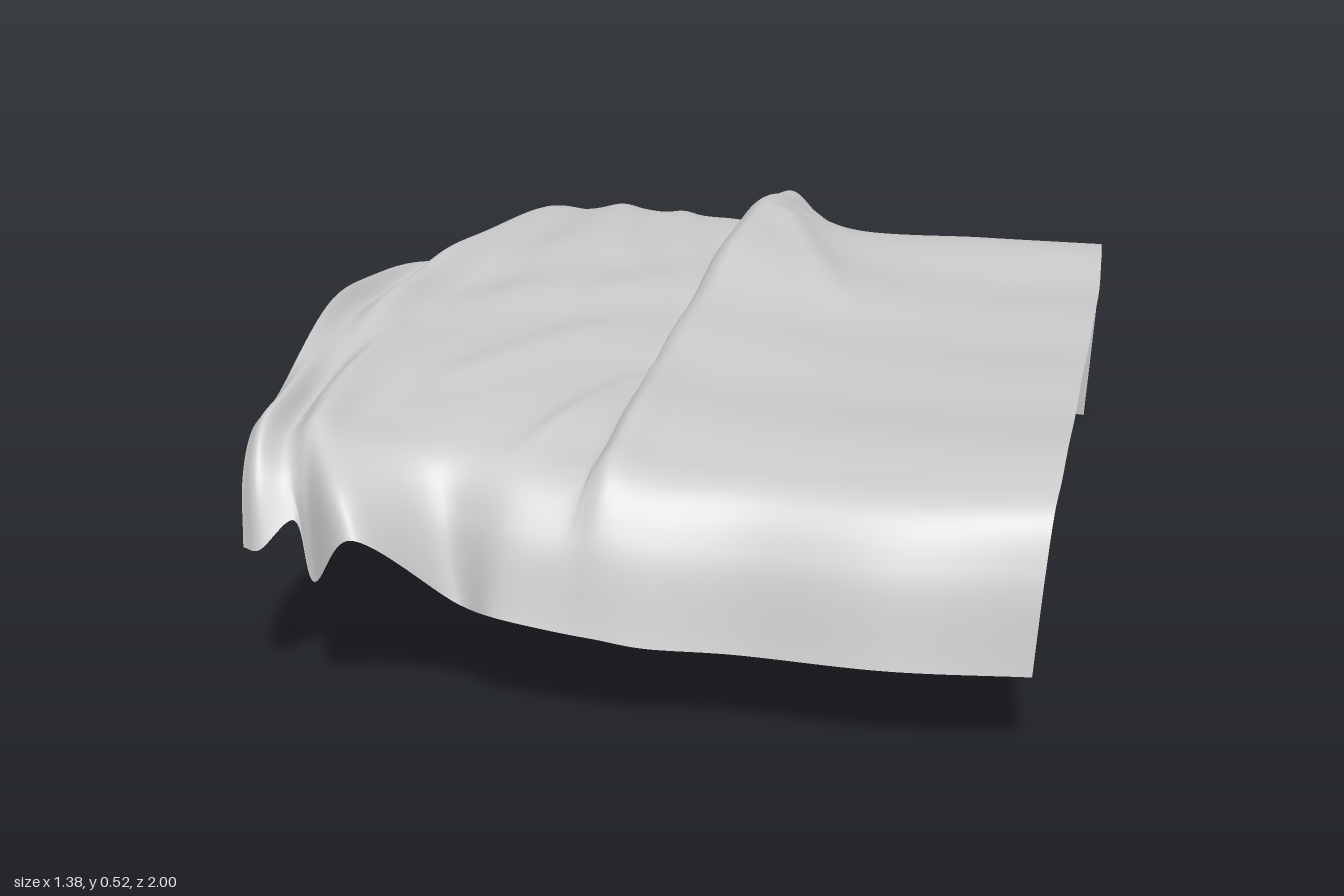
import * as THREE from 'three';

// Cross-sections over the top, running from the -x edge to the +x edge: [x, y]
const topSections = [
  { z: 0.72, pts: [[-.625, .45], [-.6, .475], [-.565, .44], [-.52, .475], [-.46, .445], [-.3, .435], [-.16, .425],
    [-.05, .42], [-.045, .43], [-.02, .45], [.05, .43], [.2, .42], [.45, .418], [.69, .42]] },
  { z: 0.15, pts: [[-.69, .5], [-.655, .465], [-.605, .495], [-.54, .462], [-.4, .468], [-.3, .46], [-.17, .45],
    [-.065, .43], [-.075, .455], [-.045, .475], [.03, .46], [.22, .43], [.42, .418], [.665, .418]] },
  { z: -0.4, pts: [[-.605, .41], [-.615, .45], [-.58, .48], [-.5, .46], [-.4, .47], [-.28, .455], [-.17, .45],
    [-.08, .44], [-.1, .48], [-.06, .527], [.02, .505], [.17, .443], [.4, .418], [.64, .418]] },
  { z: -0.74, pts: [[-.615, .36], [-.61, .41], [-.57, .435], [-.5, .43], [-.42, .435], [-.3, .43], [-.19, .43],
    [-.1, .43], [-.11, .46], [-.065, .49], [-.005, .455], [.08, .42], [.36, .418], [.612, .418]] },
];

// Hems: [x, y, z]
const frontHem = [[-.605, .27, .92], [-.57, .275, .94], [-.52, .32, .91], [-.48, .23, .94], [-.39, .33, 1],
  [-.25, .195, .9], [-.18, .195, .94], [-.1, .185, .945], [-.06, .18, .945], [-.01, .175, .945],
  [.06, .165, .94], [.2, .155, .91], [.45, .155, .92], [.67, .145, .87]];
const backHem = [[-.49, .05, -1], [-.517, .035, -.955], [-.495, .04, -.92], [-.445, .03, -.915], [-.43, .03, -.865],
  [-.3, .05, -.855], [-.19, .08, -.865], [-.122, .1, -.885], [-.1, .125, -.94], [-.035, .145, -.99],
  [.035, .11, -.91], [.085, .04, -.835], [.36, .02, -.865], [.58, .005, -.85]];

const COLS = 180, ROWS = 140;
const mix = THREE.MathUtils.lerp, step = THREE.MathUtils.smoothstep;

// Rounded drop between the top and a hem
function dropPoint(top, hem, outward, downward) {
  return new THREE.Vector3(mix(top.x, hem.x, downward), mix(top.y, hem.y, downward), mix(top.z, hem.z, outward));
}

// One strip of cloth from the front hem, over the top, to the back hem
function lengthCurve(i) {
  const tops = topSections.map(s => new THREE.Vector3(s.pts[i][0], s.pts[i][1], s.z));
  const front = new THREE.Vector3(...frontHem[i]), back = new THREE.Vector3(...backHem[i]);
  const last = tops[tops.length - 1];
  return new THREE.CatmullRomCurve3([
    front, dropPoint(tops[0], front, .8, .42), dropPoint(tops[0], front, .5, .1), ...tops,
    dropPoint(last, back, .5, .1), dropPoint(last, back, .8, .42), back,
  ]);
}

// Soft ridge along the segment from (ax, az) to (bx, bz)
function ridge(x, z, ax, az, bx, bz, width, height) {
  const dx = bx - ax, dz = bz - az;
  const t = THREE.MathUtils.clamp(((x - ax) * dx + (z - az) * dz) / (dx * dx + dz * dz), 0, 1);
  const d = Math.hypot(x - ax - t * dx, z - az - t * dz) / width;
  return height * Math.exp(-d * d) * (1 - .5 * t);
}

// Small wrinkles and sagging on the upper face
function wrinkle(x, z) {
  const flat = 1 - step(Math.abs(z), .65, .85);
  const loose = 1 - step(x, -.2, -.08);
  return flat * (
    (loose - 1) * .004 * Math.cos(z * 15.7) +
    loose * .004 * Math.sin(14 * x + 9 * z + 2 * Math.sin(5 * z)) +
    ridge(x, z, 0, -.5, .18, -.12, .04, .012) +
    ridge(x, z, -.28, -.75, -.2, -.4, .03, .012) +
    ridge(x, z, -.4, -.7, -.3, -.3, .035, .01) +
    ridge(x, z, -.55, .75, -.54, .3, .018, .012) +
    ridge(x, z, -.17, .8, -.08, .4, .03, .02) +
    ridge(x, z, -.36, .5, -.22, .2, .04, .01));
}

// Hanging pleats in the loose part of the back drop
function pleat(x, z) {
  const span = step(x, -.46, -.38) * (1 - step(x, -.2, -.13));
  return step(-z, .76, .84) * span * .012 * Math.sin(x * 50);
}

function clothGeometry() {
  const strips = frontHem.map((_, i) => lengthCurve(i));
  const positions = [], index = [];
  for (let r = 0; r <= ROWS; r++) {
    const across = new THREE.CatmullRomCurve3(strips.map(s => s.getPoint(r / ROWS)));
    for (let c = 0; c <= COLS; c++) {
      const p = across.getPoint(c / COLS);
      positions.push(p.x, p.y + wrinkle(p.x, p.z), p.z + pleat(p.x, p.z));
      if (r < ROWS && c < COLS) {
        const a = r * (COLS + 1) + c, b = a + COLS + 1;
        index.push(a, a + 1, b, a + 1, b + 1, b);
      }
    }
  }
  const geometry = new THREE.BufferGeometry();
  geometry.setAttribute('position', new THREE.Float32BufferAttribute(positions, 3));
  geometry.setIndex(index);

  // Centred, with the lowest point on the ground
  geometry.computeBoundingBox();
  const box = geometry.boundingBox, mid = box.getCenter(new THREE.Vector3());
  geometry.translate(-mid.x, -box.min.y, -mid.z);
  geometry.computeVertexNormals();
  return geometry;
}

export function createModel() {
  const group = new THREE.Group();
  group.name = 'drapedBlanket';
  const cloth = new THREE.Mesh(clothGeometry(),
    new THREE.MeshStandardMaterial({ color: 0xcccccc, side: THREE.DoubleSide }));
  cloth.name = 'blanket';
  group.add(cloth);
  return group;
}
